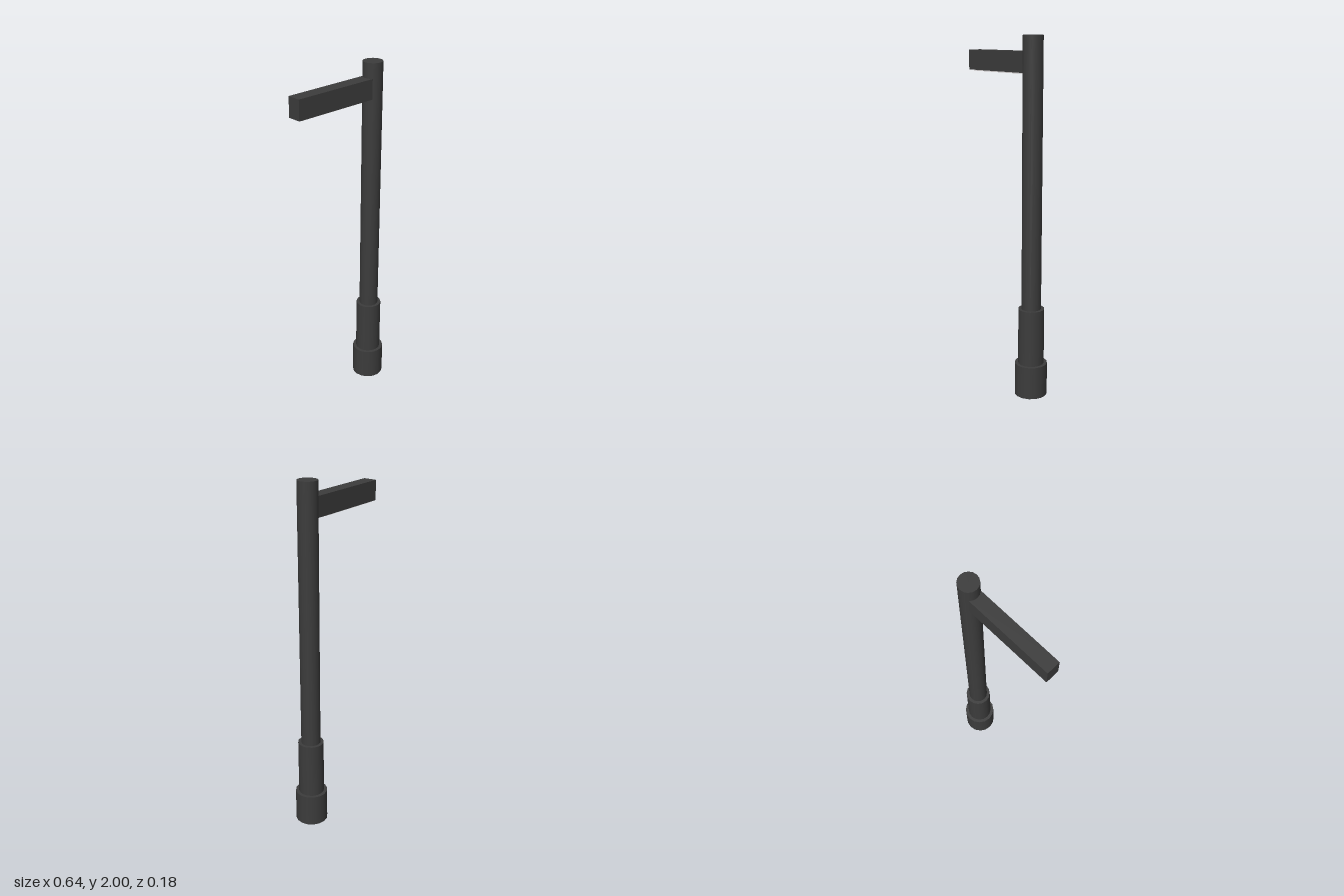
import * as THREE from 'three';

export function createModel() {
  const group = new THREE.Group();
  const darkMetal = new THREE.MeshStandardMaterial({ color: 0x3c3c3c });
  darkMetal.name = 'darkMetal';
  const lampGlass = new THREE.MeshStandardMaterial({ color: 0xd8d4d4 });
  lampGlass.name = 'lampGlass';

  const poleX = 0.227;

  function add(name, geometry, material, x, y) {
    const mesh = new THREE.Mesh(geometry, material);
    mesh.name = name;
    mesh.position.set(x, y, 0);
    group.add(mesh);
  }

  // Stepped upright: foot, collar and pole, stacked from the ground
  const sections = [
    ['foot', 0.092, 0, 0.187],
    ['collar', 0.073, 0.187, 0.508],
    ['pole', 0.055, 0.508, 2],
  ];
  for (const [name, radius, bottom, top] of sections) {
    const geometry = new THREE.CylinderGeometry(radius, radius, top - bottom, 16);
    add(name, geometry, darkMetal, poleX, (bottom + top) / 2);
  }

  // Lamp arm, running from its free end into the pole
  const armEnd = -0.32;
  const armLength = poleX - 0.02 - armEnd;
  add('lampArm', new THREE.BoxGeometry(armLength, 0.112, 0.078), darkMetal, armEnd + armLength / 2, 1.861);

  // Thin light panel under the arm
  add('lightPanel', new THREE.BoxGeometry(0.41, 0.008, 0.056), lampGlass, -0.085, 1.803);

  return group;
}
